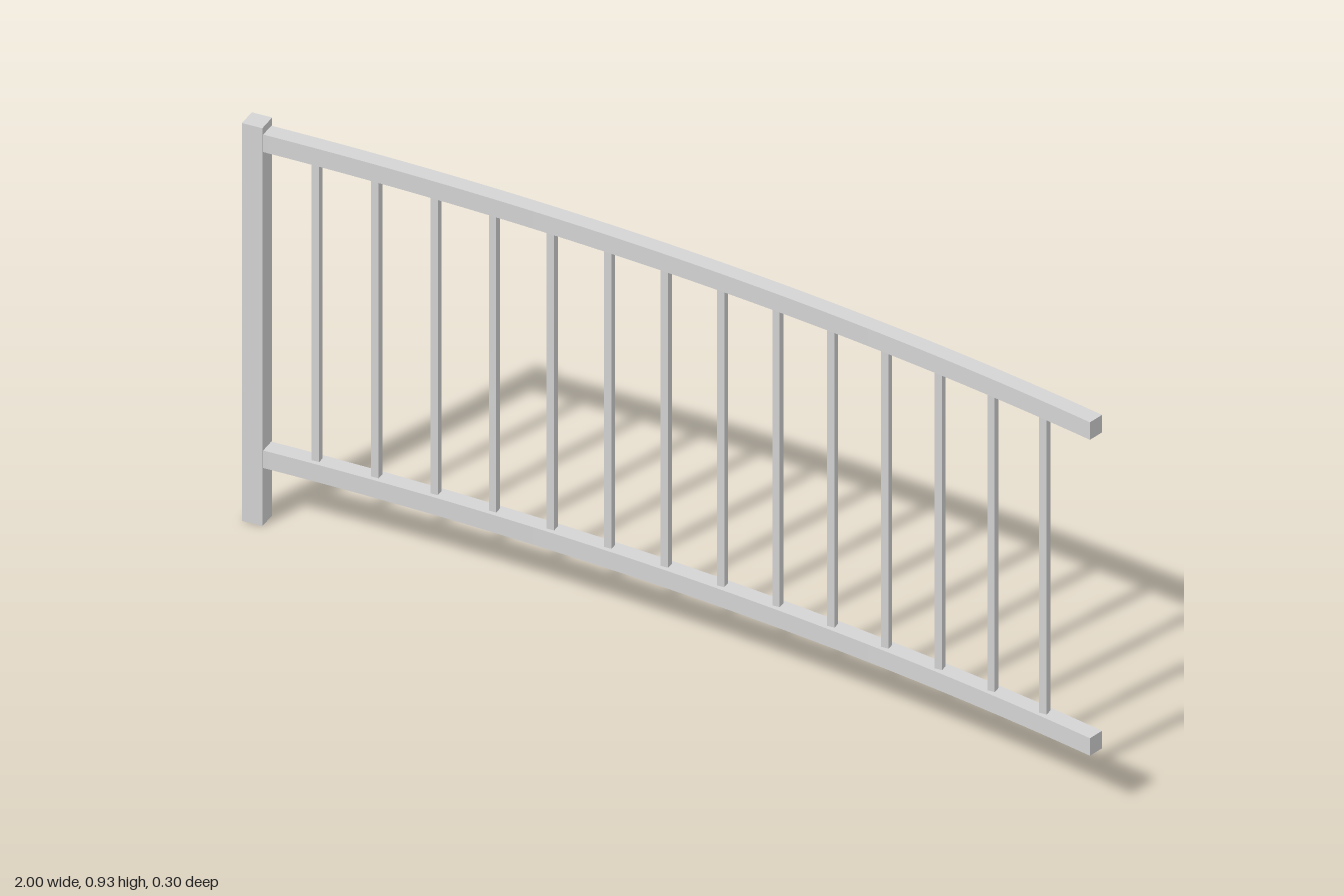
import * as THREE from 'three';

// Rails follow a shallow arc that starts square to the post
const RADIUS = 7.68;
const SWEEP = 0.26;
const START_X = -0.9775;
const START_Z = -0.126;
const RAIL_WIDTH = 0.037;
const RAIL_HEIGHT = 0.041;
const LOW_RAIL_TOP = 0.175;
const HIGH_RAIL_TOP = 0.915;
const BAYS = 15;

const metal = new THREE.MeshStandardMaterial({ color: 0xd4d4d4 });
metal.name = 'light grey metal';

// Curved bar: a slice of a ring in plan, extruded downwards from its top
function curvedRail(name, topY) {
  const centreZ = START_Z + RADIUS;
  const from = -Math.PI / 2;
  const shape = new THREE.Shape();
  shape.absarc(START_X, centreZ, RADIUS + RAIL_WIDTH / 2, from, from + SWEEP, false);
  shape.absarc(START_X, centreZ, RADIUS - RAIL_WIDTH / 2, from + SWEEP, from, true);
  const geometry = new THREE.ExtrudeGeometry(shape, {
    depth: RAIL_HEIGHT, bevelEnabled: false, curveSegments: 30,
  });
  geometry.rotateX(Math.PI / 2);
  const rail = new THREE.Mesh(geometry, metal);
  rail.name = name;
  rail.position.y = topY;
  return rail;
}

export function createModel() {
  const railing = new THREE.Group();
  railing.name = 'curvedRailing';

  // End post
  const post = new THREE.Mesh(new THREE.BoxGeometry(0.045, 0.932, 0.045), metal);
  post.name = 'post';
  post.position.set(START_X, 0.466, START_Z);
  railing.add(post);

  railing.add(curvedRail('bottomRail', LOW_RAIL_TOP));
  railing.add(curvedRail('topRail', HIGH_RAIL_TOP));

  // Square balusters, evenly spaced along the arc and all facing the front
  const balusters = new THREE.Group();
  balusters.name = 'balusters';
  const height = HIGH_RAIL_TOP - RAIL_HEIGHT - LOW_RAIL_TOP;
  const bar = new THREE.BoxGeometry(0.0165, height, 0.0165);
  for (let i = 1; i < BAYS; i++) {
    const angle = (SWEEP * i) / BAYS;
    const baluster = new THREE.Mesh(bar, metal);
    baluster.name = 'baluster' + i;
    baluster.position.set(
      START_X + RADIUS * Math.sin(angle),
      LOW_RAIL_TOP + height / 2,
      START_Z + RADIUS * (1 - Math.cos(angle)),
    );
    balusters.add(baluster);
  }
  railing.add(balusters);

  return railing;
}
